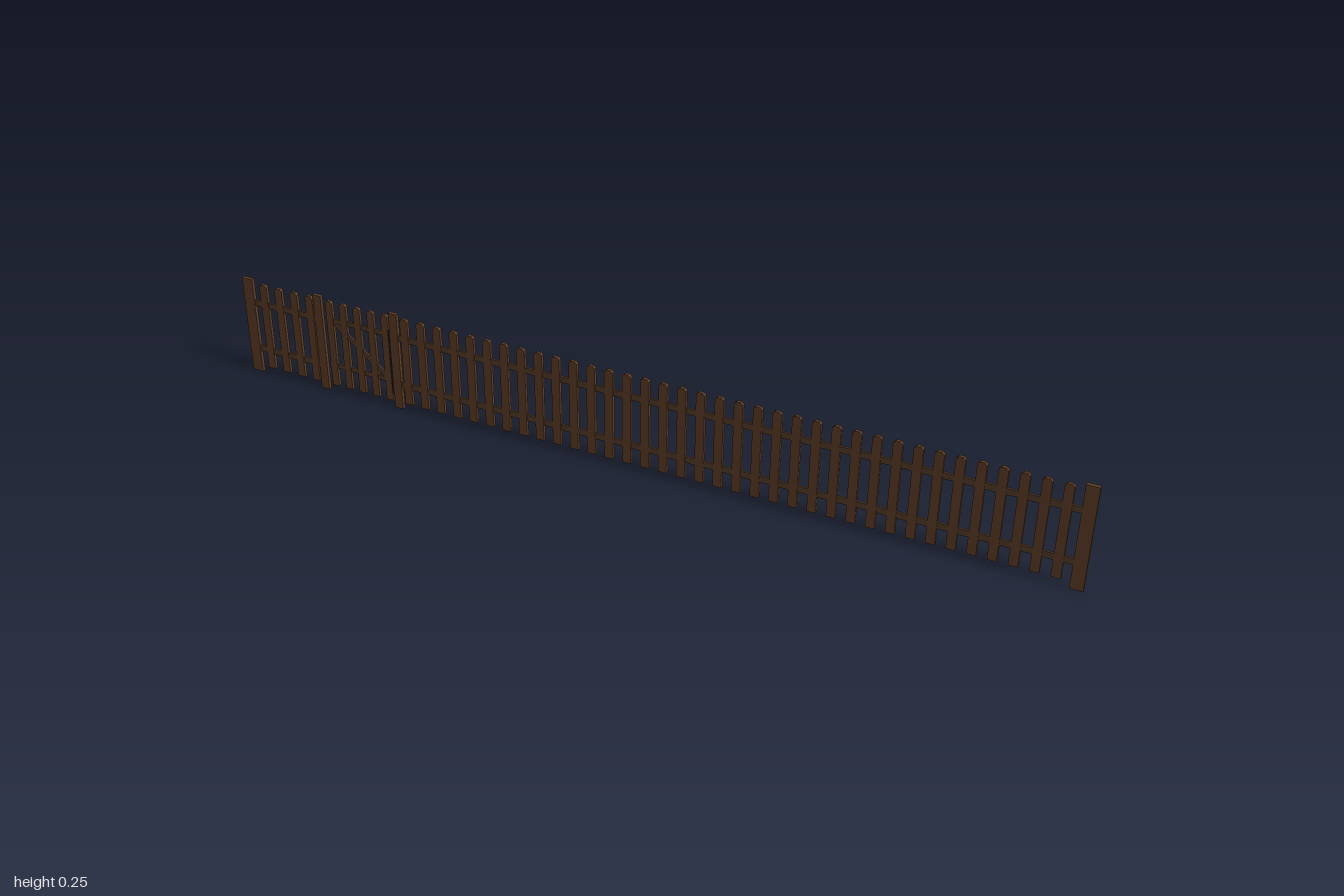
import * as THREE from 'three';

const wood = new THREE.MeshStandardMaterial({ color: 0x5c3c24, flatShading: true });
const railWood = new THREE.MeshStandardMaterial({ color: 0x523a28, flatShading: true });
const iron = new THREE.MeshStandardMaterial({ color: 0x14110f });
const Z = 0.0007; // middle plane of the fence

function box(parent, name, w, h, d, x, y, z = Z, material = wood) {
  const mesh = new THREE.Mesh(new THREE.BoxGeometry(w, h, d), material);
  mesh.name = name;
  mesh.position.set(x, y, z);
  parent.add(mesh);
  return mesh;
}

// Upright board with clipped top corners
function picketGeometry(width, bottom, top, depth) {
  const w = width / 2, c = width * 0.28;
  const shape = new THREE.Shape([
    [-w, bottom], [w, bottom], [w, top - c], [w - c, top], [c - w, top], [-w, top - c],
  ].map(([x, y]) => new THREE.Vector2(x, y)));
  return new THREE.ExtrudeGeometry(shape, { depth, bevelEnabled: false }).translate(0, 0, -depth / 2);
}

function addPickets(parent, geometry, first, last, count) {
  for (let i = 0; i < count; i++) {
    const picket = new THREE.Mesh(geometry, wood);
    picket.name = 'picket';
    picket.position.set(first + (last - first) * i / (count - 1), 0, Z);
    parent.add(picket);
  }
}

// Stretch of fence: two rails and a row of pickets
function fencePanel(name, from, to, first, last, count) {
  const panel = new THREE.Group();
  panel.name = name;
  for (const y of [0.184, 0.063])
    box(panel, 'rail', to - from, 0.015, 0.005, (from + to) / 2, y, Z, railWood);
  addPickets(panel, picketGeometry(0.02, 0.016, 0.237, 0.008), first, last, count);
  return panel;
}

function gatePanel() {
  const gate = new THREE.Group();
  gate.name = 'gate';
  for (const y of [0.188, 0.069])
    box(gate, 'gateRail', 0.172, 0.011, 0.005, -0.686, y, Z, railWood);
  addPickets(gate, picketGeometry(0.018, 0.016, 0.237, 0.008), -0.76, -0.61, 5);

  // Diagonal brace from the latch side down to the hinge side
  const a = new THREE.Vector2(-0.757, 0.188), b = new THREE.Vector2(-0.605, 0.069);
  const brace = box(gate, 'brace', a.distanceTo(b), 0.011, 0.005,
    (a.x + b.x) / 2, (a.y + b.y) / 2, Z, railWood);
  brace.rotation.z = Math.atan2(b.y - a.y, b.x - a.x);

  // Hinge rod
  const rod = new THREE.Mesh(new THREE.CylinderGeometry(0.0054, 0.0054, 0.164, 12), iron);
  rod.name = 'hingeRod';
  rod.position.set(-0.599, 0.118, Z);
  gate.add(rod);

  // Latch on the back
  box(gate, 'latchPlate', 0.014, 0.022, 0.003, -0.765, 0.174, -0.0045, iron);
  box(gate, 'latchBar', 0.022, 0.006, 0.002, -0.765, 0.174, -0.006, iron);
  return gate;
}

export function createModel() {
  const fence = new THREE.Group();
  fence.name = 'picketFence';

  // End posts and the slimmer gate posts
  for (const [x, w] of [[-0.986, 0.028], [-0.791, 0.021], [-0.586, 0.021], [0.986, 0.028]])
    box(fence, 'post', w, 0.245, 0.009, x, 0.1225);

  fence.add(fencePanel('shortPanel', -0.986, -0.791, -0.943, -0.815, 4));
  fence.add(fencePanel('longPanel', -0.586, 0.986, -0.558, 0.943, 36));
  fence.add(gatePanel());
  return fence;
}
